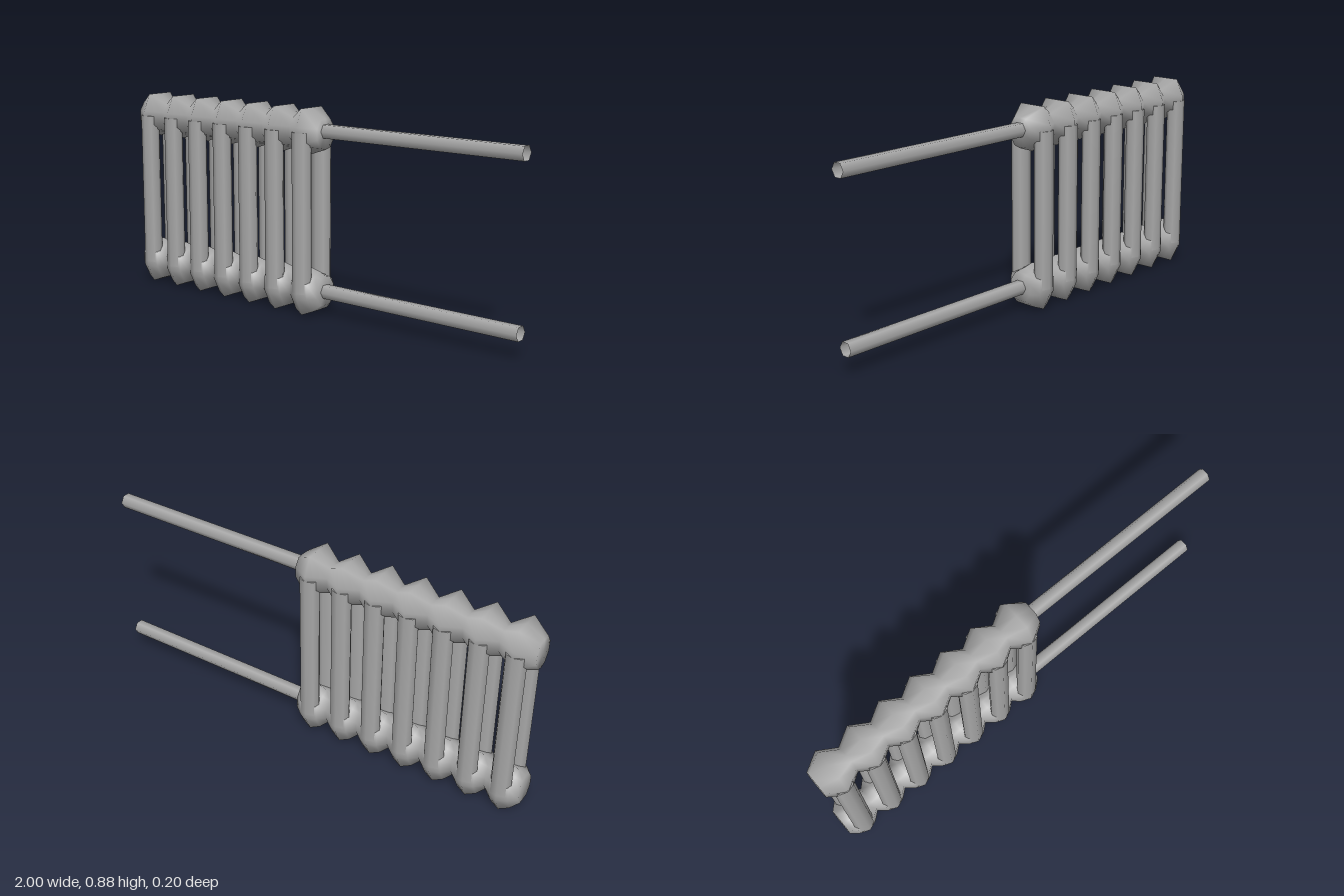
import * as THREE from 'three';

const SECTIONS = 7, PITCH = 0.1515, START = -1;

// Half cross-sections as [z, y], from bottom centre up; mirrored in z
const CENTRE = [[0, -0.095], [0.03, -0.072], [0.1, -0.05], [0.1, 0.025], [0.065, 0.1], [0, 0.1]];
const JOINT = [[0, -0.07], [0.03, -0.062], [0.055, -0.025], [0.055, 0.02], [0.032, 0.055], [0, 0.057]];

const fullRing = (half) => [...half, ...half.slice(1, -1).reverse().map(([z, y]) => [-z, y])];

// Header lofted along x, swelling at the middle of every section
function headerGeometry(stations) {
  const c = fullRing(CENTRE), j = fullRing(JOINT), n = c.length;
  const pos = [], idx = [], rings = [];
  for (let s = 0; s < SECTIONS; s++) {
    for (const [t, w] of stations) rings.push([START + (s + t) * PITCH, w]);
  }
  rings.push([START + SECTIONS * PITCH, 0]);
  for (const [x, w] of rings) {
    for (let k = 0; k < n; k++) {
      pos.push(x, THREE.MathUtils.lerp(j[k][1], c[k][1], w), THREE.MathUtils.lerp(j[k][0], c[k][0], w));
    }
  }
  for (let i = 0; i < rings.length - 1; i++) {
    for (let k = 0; k < n; k++) {
      const a = i * n + k, d = i * n + (k + 1) % n;
      idx.push(a, a + n, d, d, a + n, d + n);
    }
  }
  // End caps share the rim so the shading stays soft
  const first = pos.length / 3, last = (rings.length - 1) * n;
  pos.push(START, 0, 0, START + SECTIONS * PITCH, 0, 0);
  for (let k = 0; k < n; k++) {
    const m = (k + 1) % n;
    idx.push(first, k, m, first + 1, last + m, last + k);
  }
  const g = new THREE.BufferGeometry();
  g.setAttribute('position', new THREE.Float32BufferAttribute(pos, 3));
  g.setIndex(idx);
  g.computeVertexNormals();
  return g;
}

export function createModel() {
  const model = new THREE.Group();
  model.name = 'radiator';
  const metal = new THREE.MeshStandardMaterial({ color: 0xa6a6a6, side: THREE.DoubleSide });
  metal.name = 'grey metal';

  const add = (geometry, name, x, y, z) => {
    const mesh = new THREE.Mesh(geometry, metal);
    mesh.name = name;
    mesh.position.set(x, y, z);
    model.add(mesh);
    return mesh;
  };

  // Headers: ridged above, rounder below
  add(headerGeometry([[0, 0], [0.5, 1]]), 'topHeader', 0, 0.775, 0);
  add(headerGeometry([[0, 0], [0.22, 0.62], [0.5, 1], [0.78, 0.62]]), 'bottomHeader', 0, 0.1, 0)
    .rotation.x = Math.PI;

  // Front and back columns of every section
  const column = new THREE.CylinderGeometry(0.045, 0.045, 0.68, 8);
  column.scale(1, 1, 0.8);
  for (let s = 0; s < SECTIONS; s++) {
    const x = START + (s + 0.5) * PITCH;
    add(column, 'frontColumn', x, 0.4375, 0.064);
    add(column, 'backColumn', x, 0.4375, -0.064);
  }

  // Open six-sided supply pipes
  const pipeStart = START + SECTIONS * PITCH - 0.01;
  const pipe = new THREE.CylinderGeometry(0.032, 0.032, 1 - pipeStart, 6, 1, true);
  pipe.rotateY(Math.PI / 2);
  pipe.rotateZ(-Math.PI / 2);
  pipe.rotateX(Math.PI / 2);
  add(pipe, 'topPipe', (1 + pipeStart) / 2, 0.782, 0);
  add(pipe, 'bottomPipe', (1 + pipeStart) / 2, 0.103, 0);

  return model;
}
